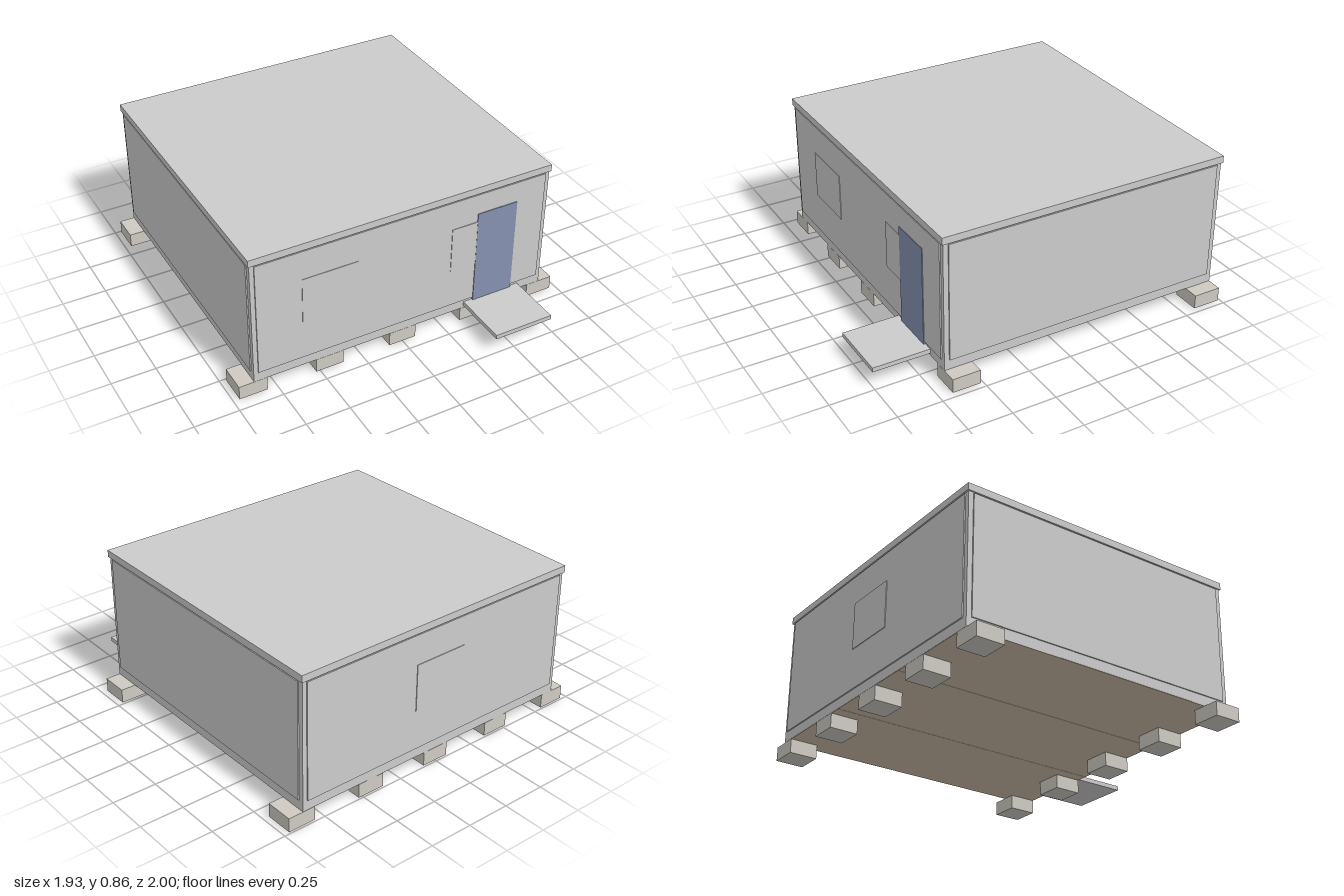
import * as THREE from 'three';

const GREY = new THREE.MeshStandardMaterial({ color: 0xcccccc });
const CONCRETE = new THREE.MeshStandardMaterial({ color: 0xcecac2 });
const TIMBER = new THREE.MeshStandardMaterial({ color: 0xccbda8 });
const BLUE = new THREE.MeshStandardMaterial({ color: 0x8591b0 });

const CZ = -0.157; // middle of the cabin in z
const HX = 0.88, HZ = 0.832; // half size of the frame

export function createModel() {
  const model = new THREE.Group();

  // Box given by its limits on each axis
  function box(name, [x0, x1], [y0, y1], [z0, z1], material = GREY) {
    const mesh = new THREE.Mesh(new THREE.BoxGeometry(x1 - x0, y1 - y0, z1 - z0), material);
    mesh.position.set((x0 + x1) / 2, (y0 + y1) / 2, (z0 + z1) / 2);
    mesh.name = name;
    model.add(mesh);
    return mesh;
  }

  // Wall frame core and roof slab
  box('wallFrame', [-HX, HX], [0.082, 0.817], [CZ - HZ, CZ + HZ]);
  box('roof', [-0.888, 0.888], [0.817, 0.857], [CZ - 0.84, CZ + 0.84]);

  // Three floor modules, with narrow seams running front to back
  const moduleWidth = (2 * HX) / 3;
  for (let i = 0; i < 3; i++) {
    const x = -HX + i * moduleWidth;
    box('floorModule', [x + 0.001, x + moduleWidth - 0.001], [0.08, 0.09],
      [CZ - HZ + 0.001, CZ + HZ - 0.001], TIMBER);
  }

  // Slightly raised wall panels on all four sides
  const panelY = [0.138, 0.81];
  for (const s of [-1, 1]) {
    const side = s * (HX + 0.0035), end = CZ + s * (HZ + 0.0035);
    box(s > 0 ? 'leftPanel' : 'rightPanel', [side - 0.0035, side + 0.0035], panelY, [CZ - 0.804, CZ + 0.804]);
    box(s > 0 ? 'frontPanel' : 'backPanel', [-0.855, 0.855], panelY, [end - 0.0035, end + 0.0035]);
  }

  // Foundation blocks along the front and back
  for (const z of [CZ - 0.752, CZ + 0.752]) {
    for (let i = -2; i <= 2; i++) {
      const x = i * 0.4425;
      box('foundationBlock', [x - 0.08, x + 0.08], [0, 0.08], [z - 0.08, z + 0.08], CONCRETE);
    }
  }

  // Thin windows: two at the front, one at the back
  const windowY = [0.37, 0.64];
  for (const x of [-0.44, 0.44]) box('frontWindow', [x - 0.16, x + 0.16], windowY, [0.675, 0.685]);
  box('backWindow', [-0.16, 0.16], windowY, [-1, -0.99]);

  // Door and entrance step
  box('door', [0.435, 0.68], [0.12, 0.69], [0.675, 0.686], BLUE);
  box('entranceStep', [0.382, 0.732], [0.095, 0.121], [0.675, 1]);

  return model;
}
